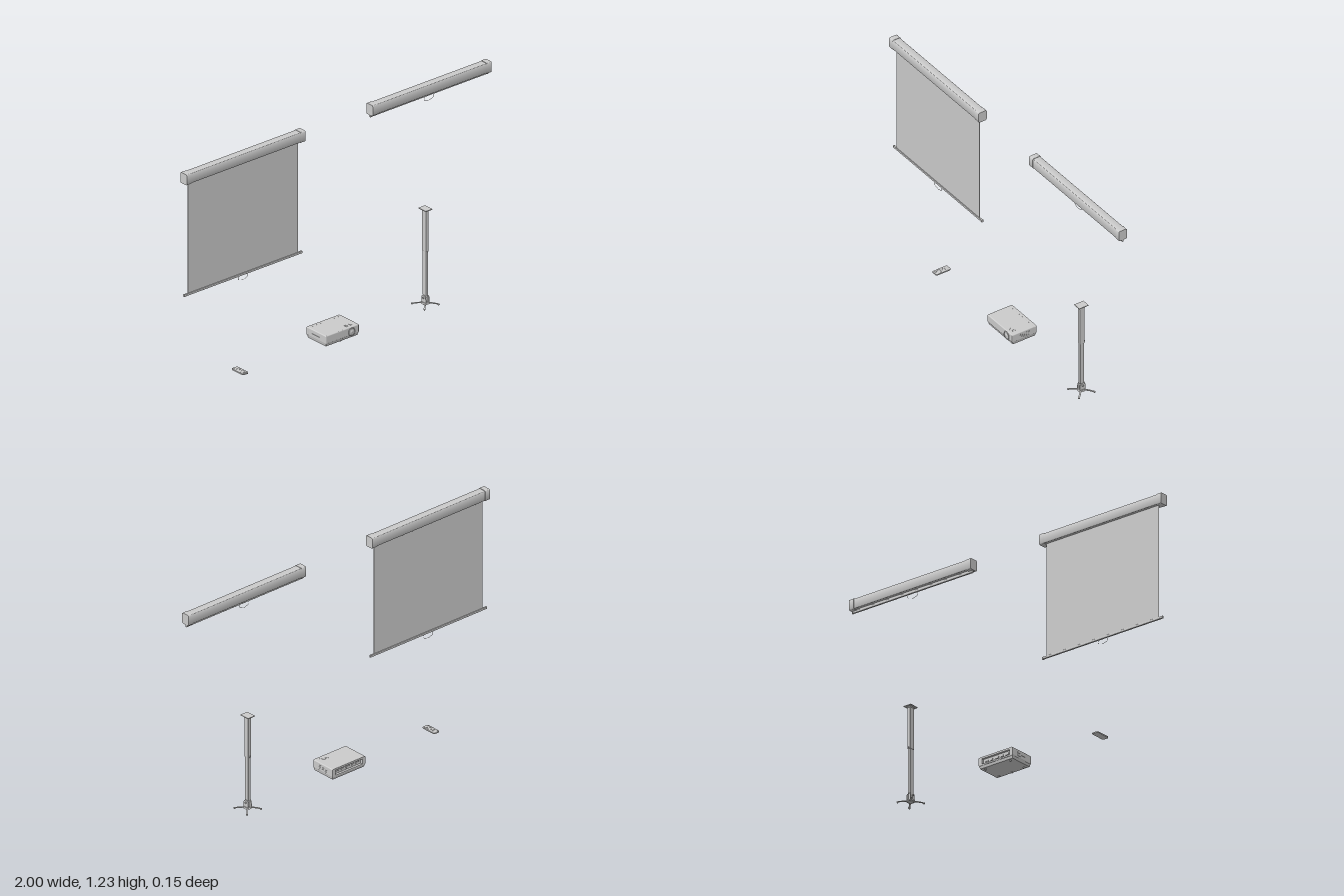
import * as THREE from 'three';
import { RoundedBoxGeometry } from 'three/addons/geometries/RoundedBoxGeometry.js';
import { toCreasedNormals } from 'three/addons/utils/BufferGeometryUtils.js';

const grey = new THREE.MeshStandardMaterial({ color: 0xcccccc, side: THREE.DoubleSide });

function add(parent, name, geometry, x = 0, y = 0, z = 0) {
  const mesh = new THREE.Mesh(geometry, grey);
  mesh.name = name;
  mesh.position.set(x, y, z);
  parent.add(mesh);
  return mesh;
}
const box = (w, h, d) => new THREE.BoxGeometry(w, h, d);
const cyl = (r, h, n = 24, r2 = r) => new THREE.CylinderGeometry(r, r2, h, n);
function group(parent, name, x = 0, y = 0, z = 0) {
  const g = new THREE.Group();
  g.name = name;
  g.position.set(x, y, z);
  parent.add(g);
  return g;
}

// Rounded rectangle, optionally with a notch cut into the middle of its lower edge
function roundedRect(w, h, r, slotWidth = 0, slotDepth = 0) {
  const s = new THREE.Shape(), a = w / 2, b = h / 2;
  s.moveTo(-a + r, -b);
  if (slotWidth) {
    s.lineTo(-slotWidth / 2, -b);
    s.lineTo(-slotWidth / 2, -b + slotDepth);
    s.lineTo(slotWidth / 2, -b + slotDepth);
    s.lineTo(slotWidth / 2, -b);
  }
  s.lineTo(a - r, -b);
  s.absarc(a - r, -b + r, r, -Math.PI / 2, 0);
  s.absarc(a - r, b - r, r, 0, Math.PI / 2);
  s.absarc(-a + r, b - r, r, Math.PI / 2, Math.PI);
  s.absarc(-a + r, -b + r, r, Math.PI, Math.PI * 1.5);
  return s;
}
// Extrusion centred on the origin, running along x
function alongX(shape, length) {
  const g = new THREE.ExtrudeGeometry(shape, { depth: length, bevelEnabled: false, curveSegments: 5 });
  g.translate(0, 0, -length / 2).rotateY(Math.PI / 2);
  return toCreasedNormals(g, 0.6);
}

// Roll-up screen; barY is the height of the weight bar's middle
function screen(parent, name, x, barY) {
  const g = group(parent, name, x, 0, 0.0225);
  add(g, 'casing', alongX(roundedRect(0.046, 0.055, 0.006, 0.014, 0.035), 0.72), 0, 1.205, 0);
  for (const s of [-1, 1]) {
    add(g, 'endCap', alongX(roundedRect(0.049, 0.059, 0.007), 0.03), s * 0.375, 1.205, 0);
  }
  add(g, 'roller', cyl(0.006, 0.72, 16).rotateZ(Math.PI / 2), 0, 1.206, 0);
  const top = 1.205;
  add(g, 'screenSheet', box(0.722, top - barY, 0.0015), 0, (top + barY) / 2, -0.002);
  add(g, 'weightBar', alongX(roundedRect(0.01, 0.012, 0.002), 0.768), 0, barY, -0.002);
  for (const s of [-1, 1]) {
    add(g, 'barEnd', alongX(roundedRect(0.011, 0.014, 0.003), 0.006), s * 0.383, barY, -0.002);
  }
  // Pull handle: a thin wire loop under the bar
  const points = [[-0.03, -0.005], [-0.03, -0.023], [-0.026, -0.026], [-0.014, -0.03], [0, -0.033],
    [0.014, -0.03], [0.026, -0.026], [0.03, -0.023], [0.03, -0.005]];
  const path = new THREE.CatmullRomCurve3(points.map(([px, py]) => new THREE.Vector3(px, py, 0)), false, 'centripetal');
  add(g, 'pullHandle', new THREE.TubeGeometry(path, 40, 0.001, 6), 0, barY, -0.002);
}

function projector(parent) {
  const g = group(parent, 'projector');
  // Body: upper shell with a shallow recess in the rear, and a tapered underside
  add(g, 'upperShell', new RoundedBoxGeometry(0.218, 0.046, 0.135, 3, 0.005), 0, 0.053, 0.005);
  const under = box(0.216, 0.02, 0.144);
  const p = under.attributes.position;
  for (let i = 0; i < p.count; i++) {
    if (p.getY(i) < 0) p.setXYZ(i, p.getX(i) * 0.96, p.getY(i), p.getZ(i) * 0.93);
  }
  under.computeVertexNormals();
  add(g, 'lowerShell', under, 0, 0.026, -0.002);
  const frame = roundedRect(0.218, 0.046, 0.006);
  const opening = new THREE.Path();
  opening.setFromPoints([[-0.088, -0.015], [-0.088, 0.013], [0.088, 0.013], [0.088, -0.015]]
    .map(([x, y]) => new THREE.Vector2(x, y)));
  frame.holes.push(opening);
  add(g, 'rearFrame', new THREE.ExtrudeGeometry(frame, { depth: 0.016, bevelEnabled: false }), 0, 0.053, -0.075);
  // Sockets in the rear recess
  [[-0.065, 0.02], [-0.035, 0.014], [0, 0.022], [0.035, 0.014]].forEach(([x, w]) =>
    add(g, 'socket', box(w, 0.01, 0.006), x, 0.051, -0.064));
  for (const x of [0.058, 0.072]) {
    add(g, 'roundSocket', cyl(0.004, 0.006, 12).rotateX(Math.PI / 2), x, 0.051, -0.064);
  }
  // Lens
  add(g, 'lensRing', new THREE.TorusGeometry(0.02, 0.0025, 8, 32), 0.06, 0.049, 0.074);
  add(g, 'lensBarrel', cyl(0.02, 0.01, 32).rotateX(Math.PI / 2), 0.06, 0.049, 0.069);
  add(g, 'lensGlass', new THREE.SphereGeometry(0.016, 24, 6, 0, Math.PI * 2, 0, 0.6)
    .rotateX(Math.PI / 2), 0.06, 0.049, 0.061);
  // Focus and zoom controls on top
  add(g, 'controlPanel', box(0.042, 0.001, 0.022), 0.06, 0.0762, 0.044);
  for (const s of [-1, 1]) add(g, 'adjustmentDial', box(0.008, 0.002, 0.014), 0.06 + s * 0.01, 0.0768, 0.044);
  // Side vents
  for (const s of [-1, 1]) for (let i = 0; i < 5; i++) {
    add(g, 'ventRib', box(0.001, 0.002, 0.06), s * 0.109, 0.042 + i * 0.005, -0.005);
  }
  for (const [x, z] of [[-0.08, -0.055], [0.08, -0.055], [-0.08, 0.05], [0.08, 0.05], [0, 0.055]]) {
    add(g, 'foot', cyl(0.005, 0.007, 16), x, 0.0135, z);
  }
}

function ceilingMount(parent) {
  const g = group(parent, 'ceilingMount', 0.606);
  add(g, 'ceilingPlate', box(0.045, 0.004, 0.056), 0, 0.53, 0);
  add(g, 'plateCollar', box(0.026, 0.006, 0.036), 0, 0.525, 0);
  // Telescoping column
  add(g, 'outerTube', new RoundedBoxGeometry(0.02, 0.232, 0.03, 2, 0.003), 0, 0.413, 0);
  add(g, 'innerTube', new RoundedBoxGeometry(0.016, 0.252, 0.026, 2, 0.003), 0, 0.179, 0);
  add(g, 'clampScrew', cyl(0.004, 0.007, 12).rotateX(Math.PI / 2), 0, 0.303, -0.017);
  // Tilting joint
  for (const s of [-1, 1]) {
    const cheek = new THREE.Shape();
    cheek.moveTo(-0.018, 0.014);
    cheek.lineTo(0.018, 0.014);
    cheek.lineTo(0.016, 0.048);
    cheek.quadraticCurveTo(0, 0.066, -0.016, 0.048);
    add(g, 'jointCheek', alongX(cheek, 0.003), s * 0.0105, 0, 0);
  }
  add(g, 'jointPin', cyl(0.005, 0.034, 16).rotateZ(Math.PI / 2), 0, 0.042, 0);
  add(g, 'jointBlock', box(0.014, 0.035, 0.02), 0, 0.036, 0);
  add(g, 'swivelDisc', cyl(0.018, 0.008, 32, 0.021), 0, 0.014, 0);
  add(g, 'hub', cyl(0.013, 0.006, 24), 0, 0.008, 0);
  // Four arched arms with slotted pads
  const arm = new THREE.Shape();
  arm.moveTo(0.008, 0.015);
  arm.quadraticCurveTo(0.035, 0.0155, 0.066, 0.008);
  arm.lineTo(0.066, 0.005);
  arm.quadraticCurveTo(0.035, 0.0115, 0.008, 0.0105);
  const armGeometry = new THREE.ExtrudeGeometry(arm, { depth: 0.008, bevelEnabled: false, curveSegments: 8 })
    .translate(0, 0, -0.004);
  for (let i = 0; i < 4; i++) {
    const a = group(g, 'arm');
    a.rotation.y = Math.PI / 4 + i * Math.PI / 2;
    add(a, 'armBar', armGeometry);
    add(a, 'armPad', cyl(0.0055, 0.004, 16), 0.066, 0.006, 0);
    add(a, 'armScrew', cyl(0.0025, 0.008, 12), 0.066, 0.004, 0);
  }
}

function remote(parent) {
  const g = group(parent, 'remoteControl', -0.61, 0.016, 0);
  const body = new THREE.ExtrudeGeometry(roundedRect(0.036, 0.088, 0.007),
    { depth: 0.005, bevelThickness: 0.001, bevelSize: 0.001, bevelSegments: 2, curveSegments: 6 });
  add(g, 'remoteBody', toCreasedNormals(body.translate(0, 0, -0.0025).rotateX(-Math.PI / 2), 0.6));
  for (let row = 0; row < 4; row++) for (let col = -1; col <= 1; col++) {
    add(g, 'button', box(0.007, 0.001, 0.005), col * 0.01, 0.0038, 0.008 + row * 0.009);
  }
  add(g, 'navigationRing', new THREE.TorusGeometry(0.009, 0.0012, 6, 24).rotateX(Math.PI / 2), 0, 0.0035, -0.014);
  add(g, 'powerButton', cyl(0.003, 0.001, 12), -0.01, 0.0038, -0.034);
}

export function createModel() {
  const model = new THREE.Group();
  model.name = 'projectionSet';
  screen(model, 'loweredScreen', -0.61, 0.559);
  screen(model, 'retractedScreen', 0.61, 1.168);
  projector(model);
  ceilingMount(model);
  remote(model);
  return model;
}
